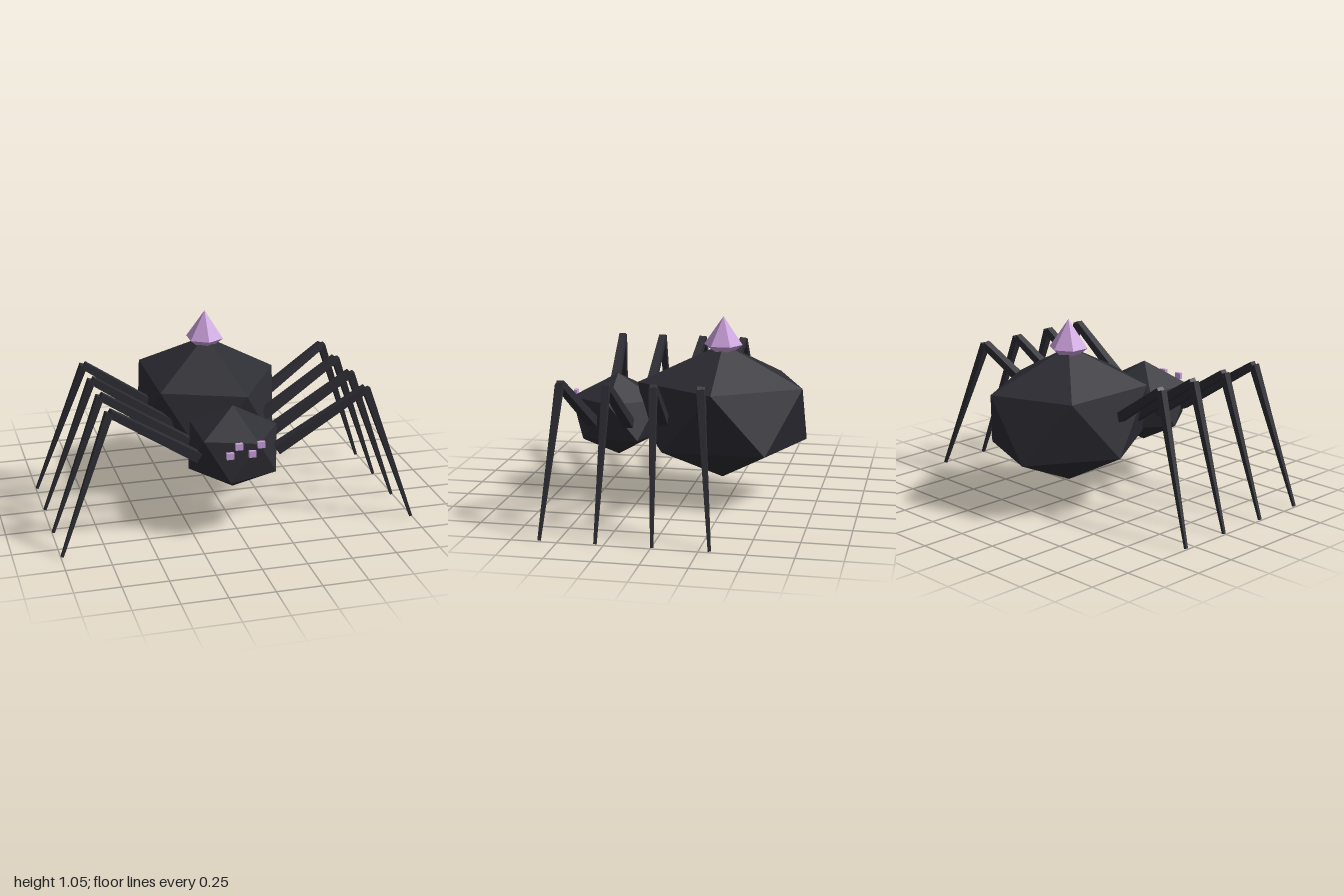
import * as THREE from 'three';
import { ConvexGeometry } from 'three/addons/geometries/ConvexGeometry.js';

const shell = new THREE.MeshStandardMaterial({ color: 0x2c2c33, flatShading: true });
shell.name = 'charcoal shell';
const crystal = new THREE.MeshStandardMaterial({ color: 0xc9a0dc, flatShading: true });
crystal.name = 'lilac crystal';

function part(name, geometry, material) {
  const mesh = new THREE.Mesh(geometry, material);
  mesh.name = name;
  return mesh;
}

// Twenty-sided body: two poles and two opposed five-point rings
function bodyGeometry(rx, ry, rz) {
  const points = [new THREE.Vector3(0, ry, 0), new THREE.Vector3(0, -ry, 0)];
  const h = 1 / Math.sqrt(5), r = 2 * h;
  for (let i = 0; i < 5; i++) {
    const a = (i * Math.PI * 2) / 5;
    const x = Math.cos(a) * r * rx, z = Math.sin(a) * r * rz;
    points.push(new THREE.Vector3(x, h * ry, z), new THREE.Vector3(-x, -h * ry, -z));
  }
  return new ConvexGeometry(points);
}

// Tapered square bar from a to b
function barGeometry(a, b, widthA, widthB) {
  const dir = b.clone().sub(a);
  const length = dir.length();
  dir.normalize();
  const geo = new THREE.CylinderGeometry(widthB * Math.SQRT1_2, widthA * Math.SQRT1_2, length, 4);
  geo.rotateY(Math.PI / 4);
  const xAxis = dir.clone().cross(new THREE.Vector3(0, 0, 1)).normalize();
  const zAxis = xAxis.clone().cross(dir);
  const matrix = new THREE.Matrix4().makeBasis(xAxis, dir, zAxis);
  matrix.setPosition(a.clone().add(b).multiplyScalar(0.5));
  return geo.applyMatrix4(matrix);
}

export function createModel() {
  const model = new THREE.Group();
  model.name = 'spider';

  const abdomen = part('abdomen', bodyGeometry(0.455, 0.39, 0.55), shell);
  abdomen.position.set(0, 0.505, -0.205);
  const head = part('head', bodyGeometry(0.28, 0.24, 0.3), shell);
  head.position.set(0, 0.46, 0.408);
  model.add(abdomen, head);

  // Six-sided crystal on the back
  const profile = [[0, 0.8], [0.11, 0.89], [0, 1.05]].map(([r, y]) => new THREE.Vector2(r, y));
  const gem = part('backCrystal', new THREE.LatheGeometry(profile, 6), crystal);
  gem.position.z = -0.205;
  model.add(gem);

  // Four staggered eyes
  const eyes = new THREE.Group();
  eyes.name = 'eyes';
  for (const [x, y] of [[-0.086, 0.517], [-0.037, 0.566], [0.037, 0.517], [0.085, 0.566]]) {
    const eye = part('eye', new THREE.BoxGeometry(0.04, 0.036, 0.02), crystal);
    eye.position.set(x, y, 0.669);
    eyes.add(eye);
  }
  model.add(eyes);

  // Four two-segment legs on each side, fanning outwards
  for (const side of [1, -1]) {
    for (let i = 0; i < 4; i++) {
      const hip = new THREE.Vector3(side * 0.22, 0.46, 0.505 - i * 0.21);
      const knee = new THREE.Vector3(side * 0.71, 0.782, 0.55 - i * 0.253);
      const foot = new THREE.Vector3(side * 0.993, 0.003, 0.597 - i * 0.302);
      const leg = new THREE.Group();
      leg.name = (side > 0 ? 'left' : 'right') + 'Leg' + (i + 1);
      leg.add(
        part('upperLeg', barGeometry(hip, knee, 0.056, 0.041), shell),
        part('lowerLeg', barGeometry(knee, foot, 0.041, 0.015), shell)
      );
      model.add(leg);
    }
  }
  return model;
}
